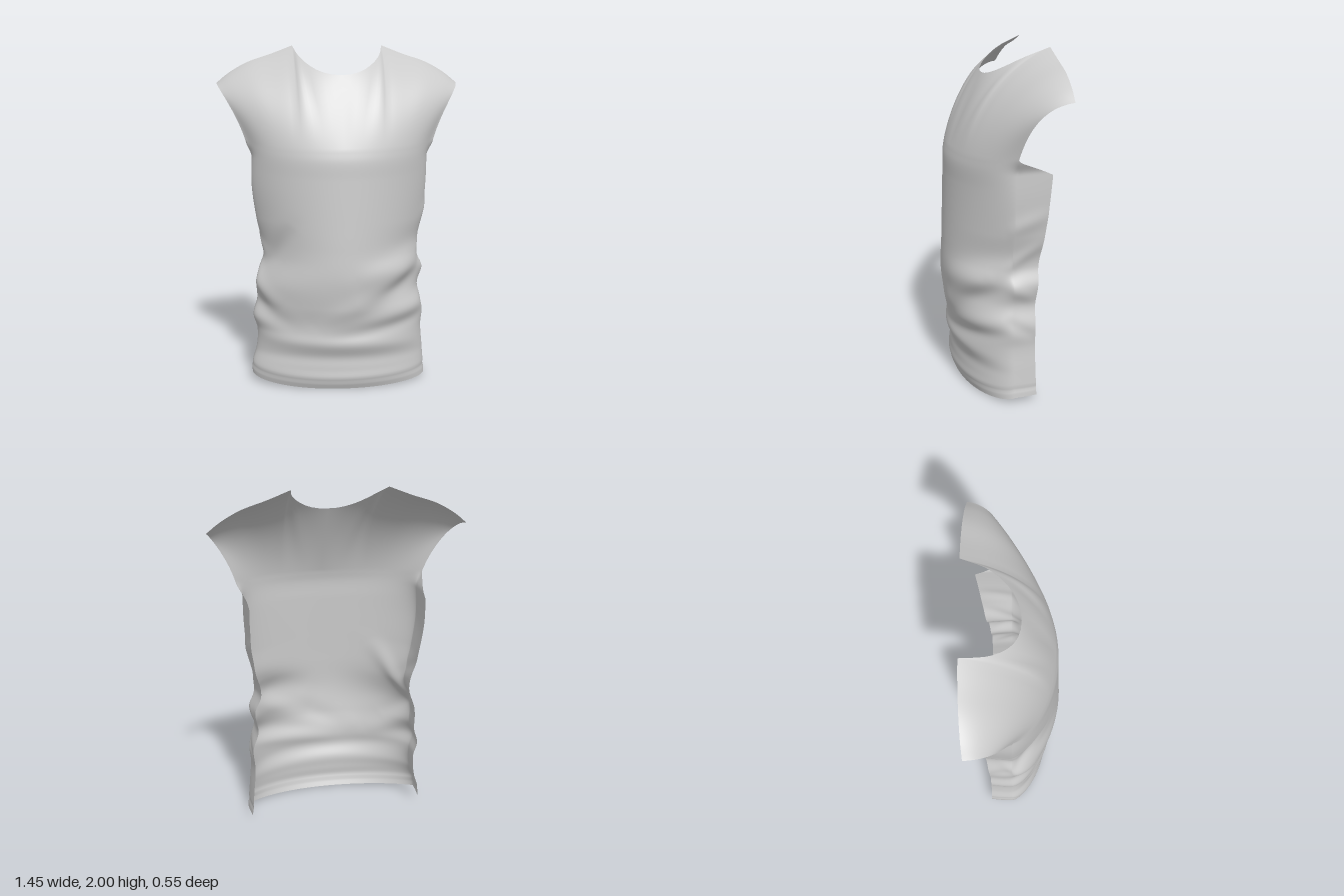
import * as THREE from 'three';
import { mergeVertices, mergeGeometries } from 'three/addons/utils/BufferGeometryUtils.js';

const V = (x, y, z) => new THREE.Vector3(x, y, z);
const { lerp, clamp, smoothstep } = THREE.MathUtils;
const curve = (...points) => new THREE.CatmullRomCurve3(points);

// Smooth lookup in a list of [height, value] pairs
function table(pairs) {
  const heights = pairs.map((p) => p[0]);
  const spline = new THREE.CubicInterpolant(heights, pairs.map((p) => p[1]), 1, [0]);
  return (y) => spline.evaluate(clamp(y, heights[0], heights.at(-1) - 1e-6))[0];
}

// Body measurements by height
const frontZ = table([[0, 0.192], [0.06, 0.215], [0.12, 0.211], [0.2, 0.216], [0.29, 0.23], [0.4, 0.228],
  [0.5, 0.252], [0.66, 0.272], [0.85, 0.267], [1.0, 0.26], [1.25, 0.248], [1.36, 0.243], [1.42, 0.23]]);
const backZ = table([[0, -0.155], [0.25, -0.15], [0.5, -0.15], [0.75, -0.17], [1.0, -0.2], [1.34, -0.23]]);
const leftW = table([[0, 0.517], [0.2, 0.5], [0.33, 0.49], [0.45, 0.5], [0.58, 0.465], [0.7, 0.485],
  [0.8, 0.45], [1.0, 0.488], [1.2, 0.508], [1.45, 0.512]]);
const rightW = table([[0, 0.528], [0.1, 0.537], [0.2, 0.51], [0.33, 0.503], [0.41, 0.525], [0.5, 0.503],
  [0.62, 0.505], [0.78, 0.457], [1.0, 0.498], [1.2, 0.523], [1.45, 0.515]]);
// Flattening of the flanks: 1 is an ellipse
const flank = table([[0, 1.2], [0.5, 1.25], [0.9, 1.55], [1.2, 1.45], [1.45, 1.15]]);
const SIDE_Z = -0.02;
const TAIL = 1.4; // u = 0 centre front, 1 side, TAIL back edge

// Cloth folds: [u0, y0, u1, y1, width, height]
const folds = [
  [0.95, 0.84, 0.1, 0.66, 0.07, 0.016], [0.95, 0.72, 0.1, 0.52, 0.065, -0.018],
  [0.6, 0.72, -0.2, 0.38, 0.06, 0.014], [0.95, 0.52, -0.1, 0.38, 0.05, 0.013],
  [0.9, 0.42, -0.1, 0.32, 0.04, -0.008], [-0.8, 0.3, 0.7, 0.26, 0.04, 0.008],
  [-0.9, 0.2, 0.9, 0.18, 0.04, -0.008], [-1.0, 0.54, -0.35, 0.38, 0.05, -0.014],
  [-1.2, 0.76, -0.5, 0.5, 0.05, 0.013], [-0.4, 0.98, -0.95, 0.64, 0.05, -0.013],
  [1.45, 0.95, 0.7, 0.76, 0.045, 0.01], [1.45, 0.6, 0.8, 0.72, 0.045, 0.01],
  [-1.45, 0.95, -0.8, 0.8, 0.045, 0.01], [1.45, 1.12, 0.8, 1.02, 0.05, 0.009],
  [-1.45, 0.6, -0.9, 0.66, 0.045, -0.01], [1.4, 0.4, 0.8, 0.5, 0.04, -0.009],
];
function foldHeight(u, y) {
  let sum = 0;
  for (const [u0, y0, u1, y1, w, h] of folds) {
    const du = (u1 - u0) * 0.6, dy = y1 - y0;
    const pu = (u - u0) * 0.6, py = y - y0;
    const k = clamp((pu * du + py * dy) / (du * du + dy * dy), 0, 1);
    const d2 = (pu - du * k) ** 2 + (py - dy * k) ** 2;
    sum += h * Math.exp(-d2 / (w * w)) * (1 - 0.85 * (2 * k - 1) ** 2);
  }
  return sum;
}

// Point on the lower body: u around, v from hem to chest line
function bodyPoint(u, v) {
  const side = Math.sign(u), s = Math.min(Math.abs(u), 1);
  const tail = Math.max(0, (Math.abs(u) - 1) / (TAIL - 1));
  const hem = lerp((side < 0 ? 0.055 : 0.03) * s * s, side < 0 ? 0.055 : 0.03, tail);
  const top = 1.42 + 0.03 * s * s - 0.105 * Math.sqrt(tail) * (0.5 + 0.5 * tail);
  const y = lerp(hem, top, v);
  const a = s * Math.PI / 2;
  const armpit = 0.038 * s ** 8 * smoothstep(y, 1.36, 1.46);
  const w = (side < 0 ? rightW : leftW)(y) + armpit;
  const stitch = 0.004 * Math.exp(-(((v - 0.036) / 0.008) ** 2));
  const r = foldHeight(u, y) * smoothstep(1 - v, 0, 0.12) - stitch;
  const bow = Math.max(0, Math.cos(a)) ** flank(y);
  const x = w * Math.sin(a) - 0.01 * tail * tail;
  const z = lerp(SIDE_Z + (frontZ(y - hem) - SIDE_Z) * bow, backZ(y), tail);
  return V(side * (x + r * Math.sin(a)), y, z + r * Math.cos(a));
}

// Upper edge of the +x half: neckline, then shoulder seam
const neckline = curve(V(0, 1.835, 0.035), V(0.06, 1.839, 0.028), V(0.13, 1.86, 0), V(0.195, 1.9, -0.06),
  V(0.24, 1.945, -0.14), V(0.27, 2, -0.28));
const shoulderSeam = curve(V(0.27, 2, -0.28), V(0.4, 1.95, -0.28), V(0.54, 1.902, -0.275),
  V(0.65, 1.84, -0.268), V(0.725, 1.78, -0.26));
// Direction in which the cloth leaves the chest line and reaches the upper edge
const chestFlow = curve(V(0, 0.42, -0.15), V(0.02, 0.6, -0.14), V(0.15, 0.5, -0.09));
const edgeFlow = curve(V(0, 0.36, -0.2), V(0, 0.36, -0.38), V(0.02, 0.36, -0.85),
  V(0.03, 0.24, -0.74), V(0.03, 0.05, -0.5));

// Point on the chest and shoulder: Hermite columns from chest line to upper edge
function yokePoint(u, t, side) {
  const s = Math.abs(u), k = Math.sin(s * Math.PI / 2);
  const low = bodyPoint(side * s, 1);
  const high = k <= 0.5 ? neckline.getPointAt(k * 2) : shoulderSeam.getPointAt(Math.min(1, k * 2 - 1));
  const start = chestFlow.getPoint(k), end = edgeFlow.getPoint(k);
  for (const p of [high, start, end]) p.x *= side;
  const t2 = t * t, t3 = t2 * t;
  return low.multiplyScalar(2 * t3 - 3 * t2 + 1)
    .addScaledVector(start, t3 - 2 * t2 + t)
    .addScaledVector(high, 3 * t2 - 2 * t3)
    .addScaledVector(end, t3 - t2);
}

// Grid surface with u running towards +x and v running up
function sheet(point, u0, u1, cols, rows) {
  const pos = [], index = [];
  for (let j = 0; j <= rows; j++) {
    for (let i = 0; i <= cols; i++) pos.push(...point(u0 + (u1 - u0) * i / cols, j / rows).toArray());
  }
  for (let j = 0; j < rows; j++) {
    for (let i = 0; i < cols; i++) {
      const a = j * (cols + 1) + i, c = a + cols + 1;
      index.push(a, a + 1, c + 1, a, c + 1, c);
    }
  }
  const g = new THREE.BufferGeometry();
  g.setAttribute('position', new THREE.Float32BufferAttribute(pos, 3));
  g.setIndex(index);
  return g;
}

export function createModel() {
  const group = new THREE.Group();
  group.name = 'shirtFront';

  // Body panel and both shoulder halves welded into one cloth
  const cols = 30;
  const cloth = mergeVertices(mergeGeometries([
    sheet(bodyPoint, -TAIL, TAIL, cols * 2 * TAIL, 120),
    sheet((u, t) => yokePoint(u, t, -1), -1, 0, cols, 40),
    sheet((u, t) => yokePoint(u, t, 1), 0, 1, cols, 40),
  ]), 1e-4);
  cloth.computeVertexNormals();
  const shirt = new THREE.Mesh(cloth,
    new THREE.MeshStandardMaterial({ color: 0xcccccc, side: THREE.DoubleSide }));
  shirt.name = 'frontPanel';
  group.add(shirt);
  return group;
}
